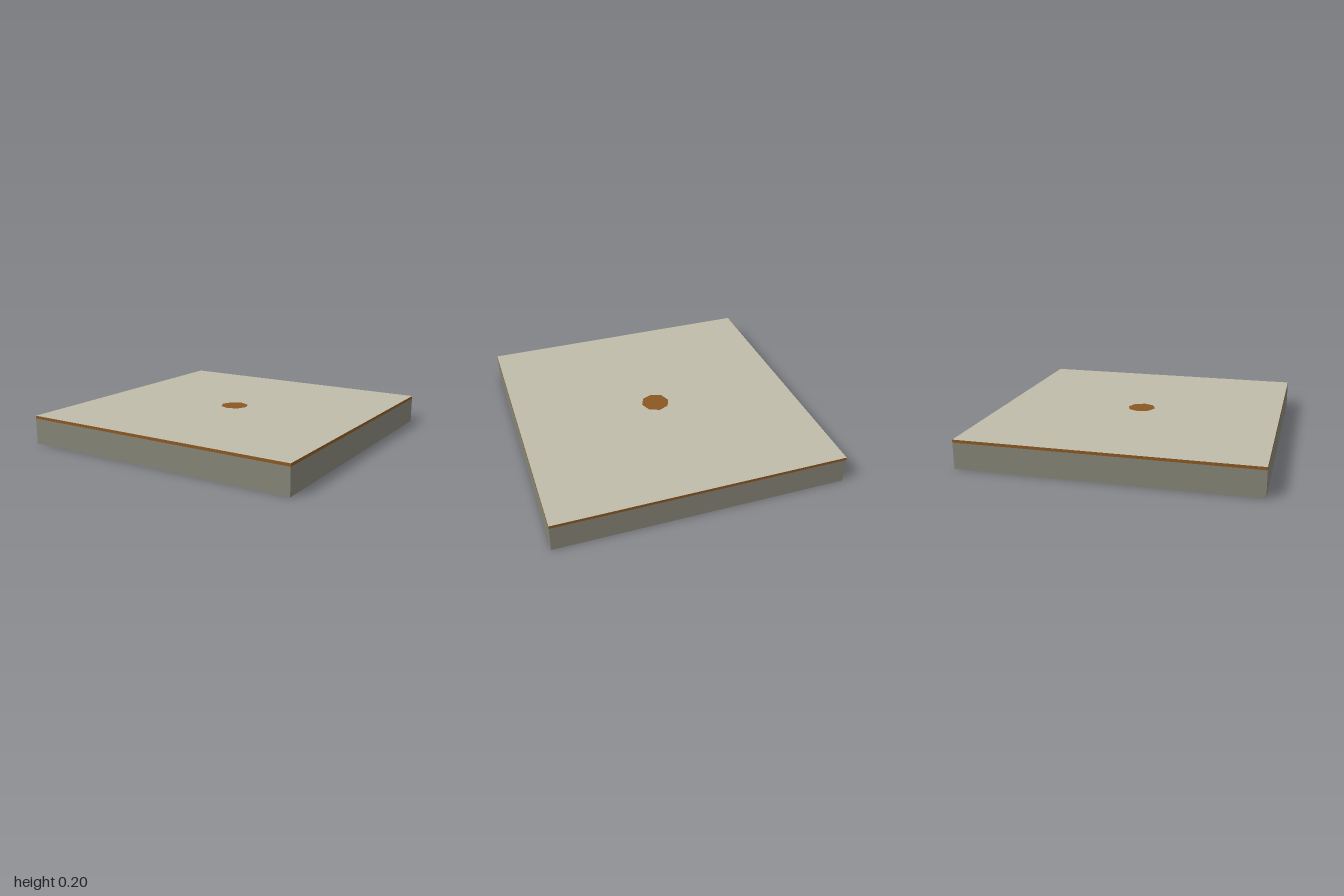
import * as THREE from 'three';

const SIZE = 2, HEIGHT = 0.2, BAND = 0.02, HUB = 0.1, HUB_SIDES = 8;

function material(name, color) {
  const m = new THREE.MeshStandardMaterial({ color });
  m.name = name;
  return m;
}

export function createModel() {
  const group = new THREE.Group();
  group.name = 'floorTile';
  const stone = material('darkStone', 0x858376);
  const pale = material('paleStone', 0xbfbbaa);
  const bronze = material('bronze', 0x8a5822);

  const add = (name, geometry, mat, y) => {
    const mesh = new THREE.Mesh(geometry, mat);
    mesh.name = name;
    mesh.position.y = y;
    group.add(mesh);
  };

  // Stone slab
  const baseHeight = HEIGHT - BAND;
  add('base', new THREE.BoxGeometry(SIZE, baseHeight, SIZE), stone, baseHeight / 2);

  // Pale top with a bronze rim and an octagonal opening
  const h = SIZE / 2;
  const square = new THREE.Shape([[-h, -h], [h, -h], [h, h], [-h, h]].map(p => new THREE.Vector2(...p)));
  const opening = [];
  for (let i = 0; i < HUB_SIDES; i++) {
    const a = -i * 2 * Math.PI / HUB_SIDES;
    opening.push(new THREE.Vector2(HUB * Math.cos(a), HUB * Math.sin(a)));
  }
  square.holes.push(new THREE.Path(opening));
  const top = new THREE.ExtrudeGeometry(square, { depth: BAND, bevelEnabled: false });
  top.rotateX(-Math.PI / 2);
  add('topPlate', top, [pale, bronze], baseHeight);

  // Bronze hub set flush into the opening
  add('hub', new THREE.CylinderGeometry(HUB, HUB, BAND, HUB_SIDES), bronze, HEIGHT - BAND / 2);

  return group;
}
